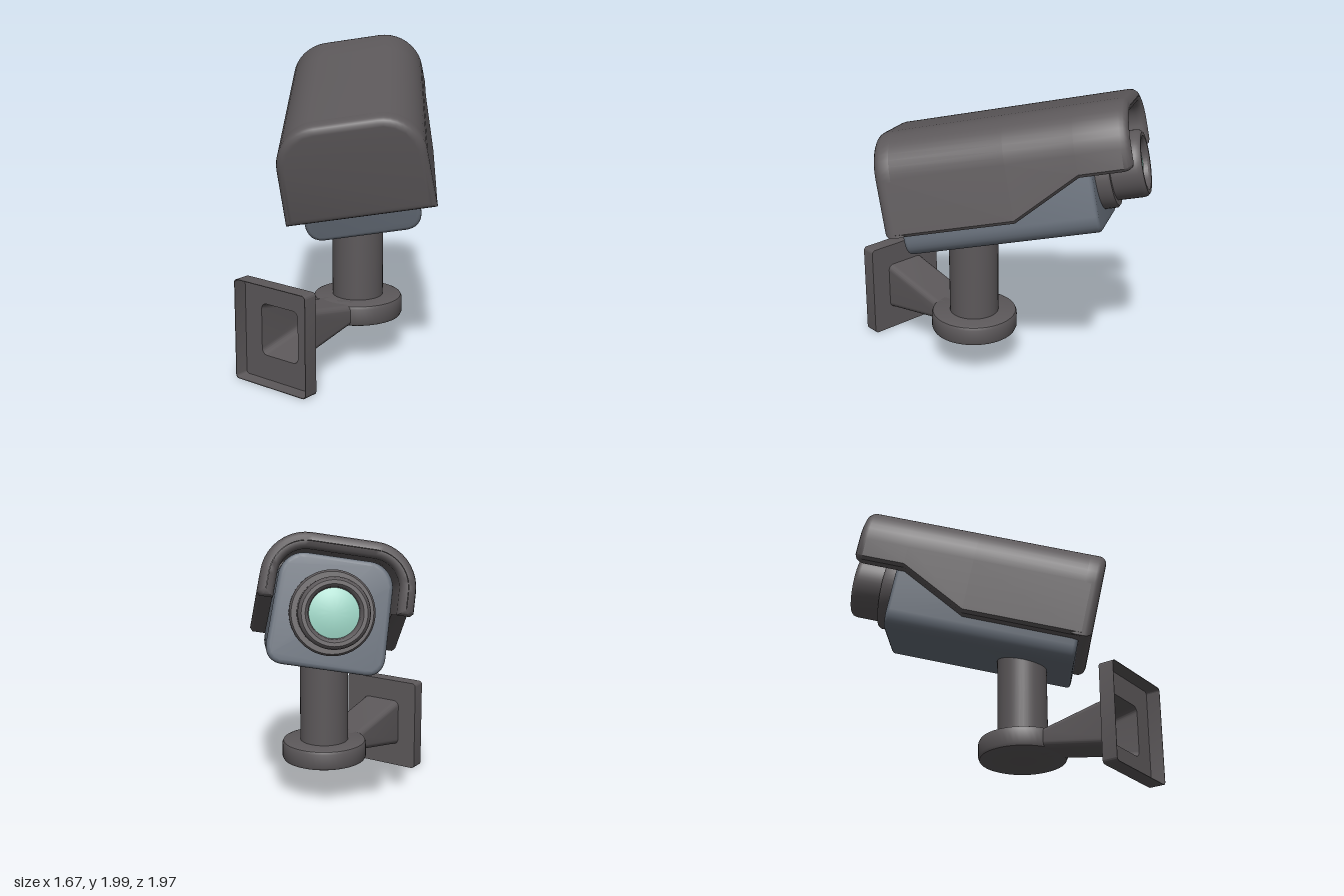
import * as THREE from 'three';
import { toCreasedNormals } from 'three/addons/utils/BufferGeometryUtils.js';

const dark = new THREE.MeshStandardMaterial({ color: 0x5c585a, side: THREE.DoubleSide });
dark.name = 'darkGrey';
const steel = new THREE.MeshStandardMaterial({ color: 0x666e79 });
steel.name = 'steelGrey';
const glass = new THREE.MeshStandardMaterial({ color: 0x9ad2c2 });
glass.name = 'paleGreen';

function part(name, geometry, material, parent, creaseDeg = 40) {
  const mesh = new THREE.Mesh(toCreasedNormals(geometry, THREE.MathUtils.degToRad(creaseDeg)), material);
  mesh.name = name;
  parent.add(mesh);
  return mesh;
}

// Skin a list of closed rings of [x, y, z] points
function loft(rings) {
  const n = rings[0].length, index = [];
  for (let k = 0; k < rings.length - 1; k++) {
    for (let i = 0; i < n; i++) {
      const a = k * n + i, b = k * n + (i + 1) % n;
      index.push(a, a + n, b, b, a + n, b + n);
    }
  }
  const g = new THREE.BufferGeometry();
  g.setAttribute('position', new THREE.Float32BufferAttribute(rings.flat(2), 3));
  g.setIndex(index);
  return g;
}

// Arch outline, left foot to right foot: slightly flared sides, round shoulders, flat top
function arch(inset, bottom) {
  const shoulderY = 1.47, r = 0.27 - inset, cx = 0.192;
  const foot = 0.462 - inset + (shoulderY - bottom) * 0.035;
  const right = [[foot, bottom]];
  for (let i = 0; i <= 10; i++) {
    const a = (i / 10) * Math.PI / 2;
    right.push([cx + r * Math.cos(a), shoulderY + r * Math.sin(a)]);
  }
  return [...right.map(([x, y]) => [-x, y]), ...right.reverse()];
}

function roundRect(w, h, r, cx, cy, Type = THREE.Shape) {
  const x = w / 2, y = h / 2, s = new Type();
  s.absarc(cx + x - r, cy + y - r, r, 0, Math.PI / 2);
  s.absarc(cx - x + r, cy + y - r, r, Math.PI / 2, Math.PI);
  s.absarc(cx - x + r, cy - y + r, r, Math.PI, Math.PI * 1.5);
  s.absarc(cx + x - r, cy - y + r, r, Math.PI * 1.5, Math.PI * 2);
  s.closePath();
  return s;
}

const vec2 = (list) => list.map(([x, y]) => new THREE.Vector2(x, y));

function buildHead() {
  const head = new THREE.Group();
  head.name = 'cameraHead';
  head.rotation.set(THREE.MathUtils.degToRad(15), THREE.MathUtils.degToRad(36), 0);
  const inner = new THREE.Group();
  inner.name = 'headParts';
  inner.position.x = 0.277;
  head.add(inner);

  // Hood shell: [z, lower edge height, outer inset, inner inset]
  const stations = [
    [-1.185, 1.37, 0.05, 0.052], [-1.175, 1.345, 0.022, 0.08], [-1.155, 1.335, 0.006, 0.094],
    [-1.13, 1.33, 0, 0.1], [-0.85, 1.33, 0, 0.1], [-0.41, 1.1, 0, 0.1], [0.37, 1.1, 0, 0.1],
  ];
  const rings = stations.map(([z, b, o, i]) => {
    const rim = arch(Math.min(o + 0.02, i), b);
    const loop = [rim[0], ...arch(o, b + 0.02), rim[rim.length - 1], ...arch(i, b).reverse()];
    return loop.map(([x, y]) => [x, y, z]);
  });
  part('hood', loft(rings), dark, inner, 45);

  // Rounded rear wall of the hood
  const wall = new THREE.ExtrudeGeometry(new THREE.Shape(vec2(arch(0.05, 1.15))), {
    depth: 0.06, bevelSize: 0.05, bevelThickness: 0.05, bevelSegments: 4,
  });
  wall.translate(0, 0, 0.33);
  part('hoodRearWall', wall, dark, inner);

  // Housing with rounded lower corners
  const pts = arch(0.135, 1.06);
  const foot = pts[pts.length - 1][0];
  const section = new THREE.Shape(vec2(pts));
  section.quadraticCurveTo(foot, 0.965, foot - 0.09, 0.965);
  section.lineTo(-foot + 0.09, 0.965);
  section.quadraticCurveTo(-foot, 0.965, -foot, 1.06);
  const housing = new THREE.ExtrudeGeometry(section, {
    depth: 1.22, bevelSize: 0.025, bevelThickness: 0.025, bevelSegments: 3, curveSegments: 8,
  });
  housing.translate(0, 0, -0.885);
  part('housing', housing, steel, inner);

  // Lens collar and barrel, turned around the viewing axis
  const profile = [[0.26, 0.88], [0.26, 0.985], [0.248, 1.0], [0.215, 1.0], [0.215, 1.165],
    [0.209, 1.187], [0.195, 1.2], [0.172, 1.2], [0.155, 1.185], [0.148, 1.14]];
  const barrel = new THREE.LatheGeometry(vec2(profile), 48);
  barrel.rotateX(-Math.PI / 2);
  part('lensBarrel', barrel, dark, inner).position.y = 1.29;

  const dome = [[0.15, 1.15], [0.11, 1.163], [0.06, 1.172], [0, 1.175]];
  const lens = new THREE.LatheGeometry(vec2(dome), 48);
  lens.rotateX(-Math.PI / 2);
  part('lens', lens, glass, inner).position.y = 1.29;
  return head;
}

function buildMount() {
  const mount = new THREE.Group();
  mount.name = 'wallMount';
  const cx = 0.19, cz = 0.135;

  // Upright post on a round foot
  const post = new THREE.CylinderGeometry(0.165, 0.165, 0.72, 40);
  post.translate(cx, 0.69, cz);
  part('post', post, dark, mount);

  const disc = [[0, 0.26], [0.265, 0.26], [0.282, 0.267], [0.29, 0.285],
    [0.29, 0.375], [0.282, 0.393], [0.265, 0.4], [0, 0.4]];
  const foot = new THREE.LatheGeometry(vec2(disc), 48);
  foot.translate(cx, 0, cz);
  part('postFoot', foot, dark, mount);

  // Hollow tapering arm: [z, width, height]
  const arm = [[0.3, 0.285, 0.14], [0.4, 0.285, 0.14], [0.905, 0.295, 0.335]].map(([z, w, h]) =>
    roundRect(w, h, 0.04, cx, 0.33).getPoints(6).slice(0, -1).reverse().map((p) => [p.x, p.y, z]));
  part('arm', loft(arm), dark, mount);

  // Dish-shaped wall plate: pierced floor and thin rim
  const floor = roundRect(0.574, 0.65, 0.025, cx, 0.325);
  floor.holes.push(roundRect(0.295, 0.335, 0.04, cx, 0.33, THREE.Path));
  const floorGeo = new THREE.ExtrudeGeometry(floor, { depth: 0.006, bevelEnabled: false });
  floorGeo.translate(0, 0, 0.9);
  part('wallPlate', floorGeo, dark, mount);

  const rim = roundRect(0.574, 0.65, 0.025, cx, 0.325);
  rim.holes.push(roundRect(0.566, 0.642, 0.021, cx, 0.325, THREE.Path));
  const rimGeo = new THREE.ExtrudeGeometry(rim, { depth: 0.1, bevelEnabled: false });
  rimGeo.translate(0, 0, 0.9);
  part('wallPlateRim', rimGeo, dark, mount);
  return mount;
}

export function createModel() {
  const model = new THREE.Group();
  model.name = 'securityCamera';
  model.add(buildHead(), buildMount());
  return model;
}
